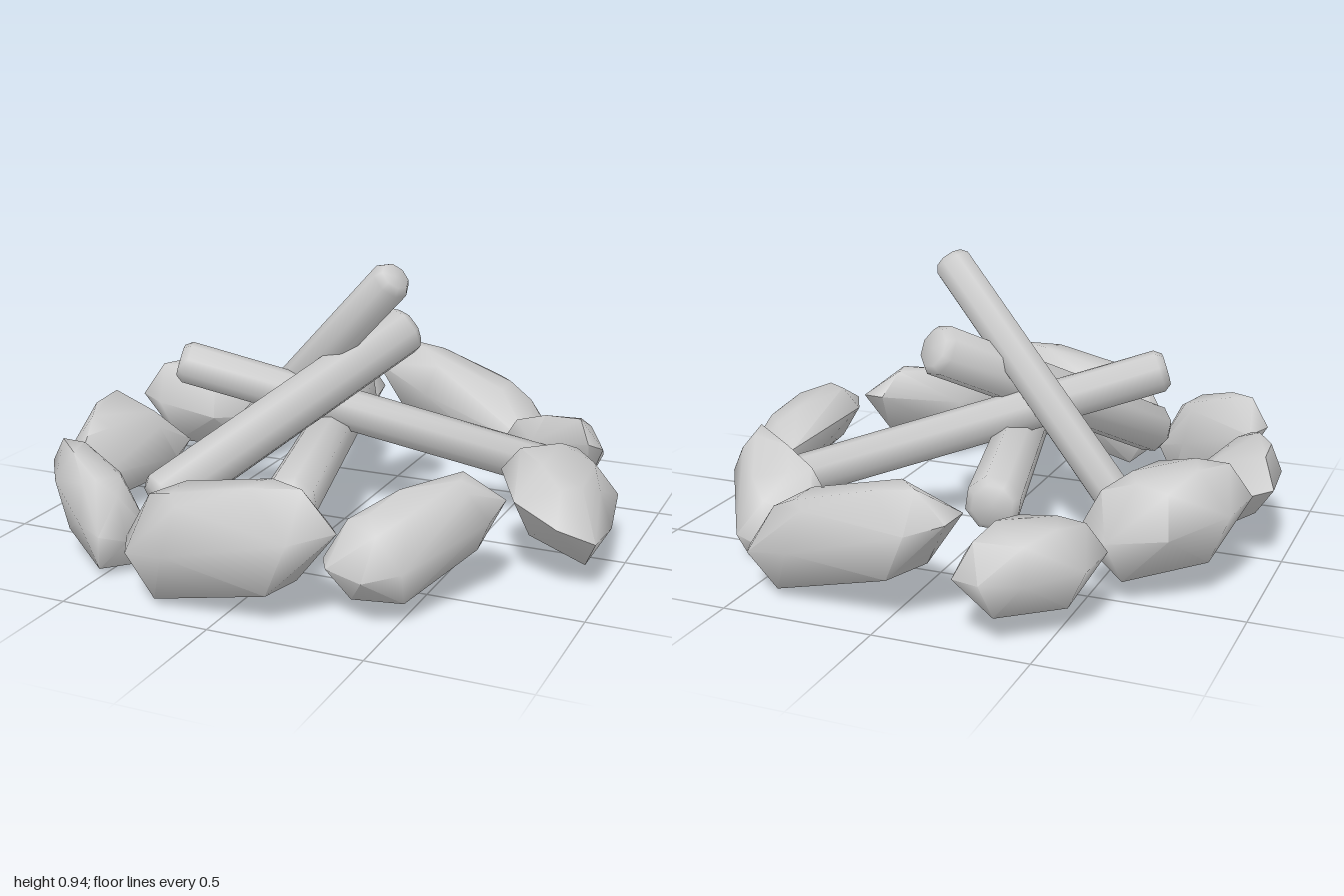
import * as THREE from 'three';
import { ConvexGeometry } from 'three/addons/geometries/ConvexGeometry.js';
import { toCreasedNormals } from 'three/addons/utils/BufferGeometryUtils.js';

const grey = new THREE.MeshStandardMaterial({ color: 0xcccccc });

// Chunky stone: a plan outline [x, z] at mid height y, with shrunk rings
// above and below; the whole stone is tilted by slopeX and slopeZ.
function stone(outline, y, h, slopeX = 0, slopeZ = 0) {
  const n = outline.length;
  const cx = outline.reduce((s, p) => s + p[0], 0) / n;
  const cz = outline.reduce((s, p) => s + p[1], 0) / n;
  const points = [];
  outline.forEach(([px, pz], i) => {
    const odd = i % 2, dh = odd ? h : h * 0.85;
    const rings = [[0, 1], [dh, odd ? 0.5 : 0.72], [-dh, odd ? 0.7 : 0.5]];
    for (const [dy, s] of rings) {
      const x = (px - cx) * s, z = (pz - cz) * s;
      points.push(new THREE.Vector3(cx + x, y + dy + slopeX * x + slopeZ * z, cz + z));
    }
  });
  const mesh = new THREE.Mesh(toCreasedNormals(new ConvexGeometry(points), 1.15), grey);
  mesh.name = 'stone';
  return mesh;
}

// Eight-sided log with bevelled ends, running from a to b
function log(a, b, r) {
  const from = new THREE.Vector3(...a), to = new THREE.Vector3(...b);
  const dir = to.clone().sub(from), len = dir.length(), c = 0.025;
  const profile = [[0, 0], [r * 0.75, 0], [r, c], [r, len - c], [r * 0.75, len], [0, len]];
  const geometry = new THREE.LatheGeometry(profile.map(([x, y]) => new THREE.Vector2(x, y)), 8);
  const mesh = new THREE.Mesh(toCreasedNormals(geometry, 1.1), grey);
  mesh.position.copy(from);
  mesh.quaternion.setFromUnitVectors(new THREE.Vector3(0, 1, 0), dir.normalize());
  mesh.name = 'log';
  return mesh;
}

export function createModel() {
  const model = new THREE.Group();
  model.name = 'campfire';

  // Ring of stones, clockwise seen from above, starting at the back
  const ring = new THREE.Group();
  ring.name = 'stoneRing';
  ring.add(
    stone([[-0.21, -0.93], [-0.1, -0.98], [0.3, -0.96], [0.49, -0.87],
      [0.53, -0.79], [0.5, -0.62], [0.03, -0.7], [-0.22, -0.82]], 0.23, 0.14, -0.3),
    stone([[0.41, -0.48], [0.43, -0.58], [0.55, -0.69], [0.66, -0.66],
      [0.81, -0.42], [0.83, -0.33], [0.79, -0.28], [0.56, -0.37]], 0.185, 0.12, 0, 0.53),
    stone([[0.61, 0.13], [0.68, -0.24], [0.77, -0.26], [0.92, -0.2],
      [0.98, 0.13], [0.98, 0.33], [0.87, 0.38], [0.72, 0.34]], 0.22, 0.115, -0.4, 0.08),
    stone([[0.27, 0.77], [0.38, 0.53], [0.61, 0.32], [0.7, 0.35],
      [0.69, 0.48], [0.53, 0.79], [0.43, 0.86], [0.3, 0.82]], 0.22, 0.125, 0, -0.25),
    stone([[-0.41, 0.77], [-0.34, 0.69], [-0.07, 0.65], [0.3, 0.78],
      [0.36, 0.87], [0.24, 0.96], [-0.15, 1], [-0.31, 0.94]], 0.22, 0.165, 0.21),
    stone([[-0.82, 0.56], [-0.77, 0.49], [-0.5, 0.59], [-0.39, 0.66],
      [-0.4, 0.78], [-0.47, 0.84], [-0.55, 0.82], [-0.74, 0.67]], 0.19, 0.14, -0.35),
    stone([[-0.98, -0.09], [-0.69, -0.13], [-0.65, 0.04], [-0.73, 0.4],
      [-0.8, 0.46], [-0.89, 0.37], [-0.96, 0.13]], 0.21, 0.12, -0.37),
    stone([[-0.94, -0.22], [-0.91, -0.38], [-0.77, -0.57], [-0.58, -0.59],
      [-0.46, -0.51], [-0.49, -0.37], [-0.61, -0.17], [-0.84, -0.17]], 0.245, 0.15, -0.15, 0.06),
    stone([[-0.6, -0.62], [-0.59, -0.79], [-0.46, -0.96], [-0.34, -1],
      [-0.25, -0.98], [-0.21, -0.79], [-0.31, -0.63], [-0.52, -0.58]], 0.205, 0.12)
  );

  // Crossed logs, each from its lower to its higher end
  const logs = new THREE.Group();
  logs.name = 'logs';
  logs.add(
    log([-0.22, 0.29, -0.6], [0.11, 0.29, 0.68], 0.09),
    log([-0.4, 0.2, 0.6], [0.15, 0.66, -0.21], 0.09),
    log([-0.62, 0.04, -0.19], [0.22, 0.9, 0.09], 0.069),
    log([0.66, 0.17, -0.33], [-0.54, 0.56, 0.18], 0.073)
  );

  model.add(ring, logs);
  return model;
}
